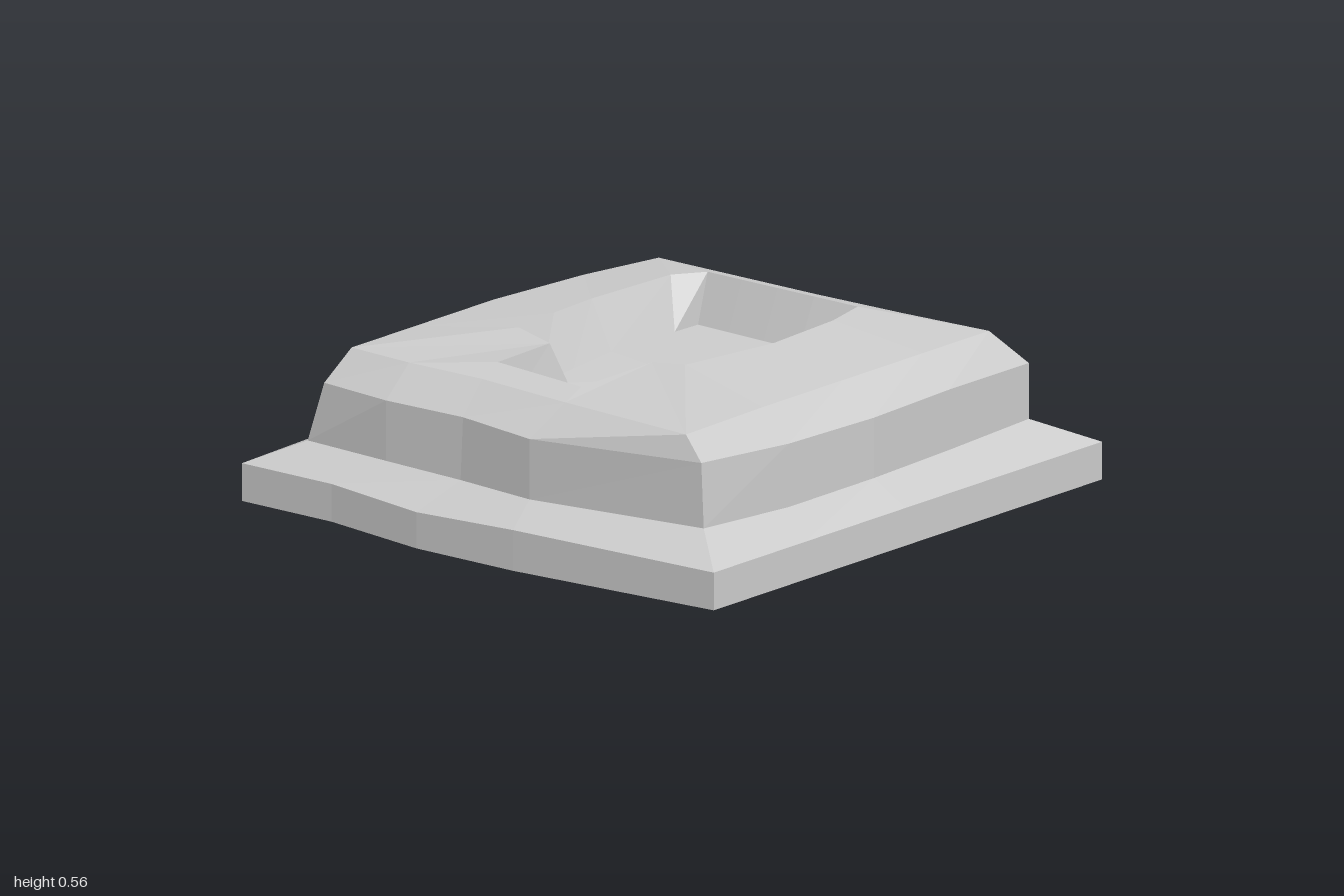
import * as THREE from 'three';

// Each ring: 16 points [x, z, y], running front, left, back, right side.
const foot = [
  [-.95, .955, .01], [-.58, .955, .01], [-.2, .99, 0], [.2, .99, 0],
  [1, .955, .01], [1, .5, .01], [1, 0, .01], [1, -.5, .01],
  [1, -.98, .01], [.5, -.985, .01], [0, -.99, .01], [-.5, -.985, .01],
  [-.95, -.98, .01], [-.95, -.5, .01], [-1, -.03, 0], [-.975, .4, .01]];
const lip = foot.map(([x, z], i) => [x, z, i === 2 || i === 14 ? .12 : .135]);
const wallBase = [
  [-.79, .82, .21], [-.45, .84, .21], [-.15, .83, .2], [.16, .86, .2],
  [.83, .8, .215], [.85, .4, .2], [.87, 0, .21], [.85, -.4, .21],
  [.83, -.82, .215], [.5, -.84, .21], [.18, -.87, .21], [-.25, -.85, .21],
  [-.78, -.82, .21], [-.8, -.4, .21], [-.83, 0, .21], [-.82, .4, .2]];
const wallTop = [
  [-.73, .81, .41], [-.45, .84, .41], [-.14, .83, .41], [.16, .86, .4],
  [.82, .8, .43], [.85, .4, .41], [.87, 0, .41], [.85, -.4, .41],
  [.83, -.82, .4], [.5, -.84, .39], [.18, -.87, .39], [-.25, -.85, .4],
  [-.78, -.82, .41], [-.79, -.4, .42], [-.815, 0, .42], [-.8, .4, .42]];
const shoulder = [
  [-.7, .71, .51], [-.45, .725, .51], [-.15, .72, .51], [.2, .73, .5],
  [.74, .78, .505], [.74, .4, .51], [.74, 0, .51], [.74, -.4, .51],
  [.74, -.73, .51], [.4, -.71, .51], [.05, -.7, .51], [-.3, -.7, .51],
  [-.6, -.7, .51], [-.66, -.4, .51], [-.7, 0, .51], [-.7, .4, .51]];
const pocketRim = [
  [-.35, .3, .55], [-.18, .35, .54], [-.17, .62, .54], [.19, .64, .53],
  [.21, .31, .54], [.33, .29, .55], [.4, -.07, .555], [.37, -.4, .55],
  [.33, -.57, .55], [.15, -.57, .55], [0, -.57, .55], [-.15, -.57, .55],
  [-.29, -.57, .55], [-.36, -.47, .55], [-.38, -.1, .55], [-.37, .1, .55]];
const pocketFloor = [
  [-.28, .27, .37], [-.15, .27, .36], [-.15, .57, .4], [.18, .56, .4],
  [.19, .27, .37], [.31, .25, .4], [.35, 0, .4], [.32, -.1, .4],
  [.31, -.49, .39], [.15, -.495, .39], [0, -.5, .39], [-.15, -.505, .39],
  [-.28, -.51, .39], [-.285, -.4, .39], [-.3, -.1, .39], [-.29, .1, .38]];
// The underside is a shallow recess with sloping sides.
const recess = wallBase.map(([x, z]) => [x, z, .095]);

const material = new THREE.MeshStandardMaterial({ color: 0xcccccc, flatShading: true });

function facetedMesh(name, triangles) {
  const geometry = new THREE.BufferGeometry();
  const coords = triangles.flatMap(([x, z, y]) => [x, y, z]);
  geometry.setAttribute('position', new THREE.Float32BufferAttribute(coords, 3));
  geometry.computeVertexNormals();
  const mesh = new THREE.Mesh(geometry, material);
  mesh.name = name;
  return mesh;
}

// Joins each ring to the next one.
function loft(name, ...rings) {
  const tris = [];
  for (let r = 0; r < rings.length - 1; r++) {
    const a = rings[r], b = rings[r + 1];
    for (let i = 0; i < a.length; i++) {
      const j = (i + 1) % a.length;
      tris.push(a[i], a[j], b[j], a[i], b[j], b[i]);
    }
  }
  return facetedMesh(name, tris);
}

// Closes a ring with triangles around a middle point.
function cap(name, ring, middle, facingDown = false) {
  const tris = ring.flatMap((p, i) => {
    const q = ring[(i + 1) % ring.length];
    return facingDown ? [q, p, middle] : [p, q, middle];
  });
  return facetedMesh(name, tris);
}

export function createModel() {
  const model = new THREE.Group();
  model.name = 'steppedBlockWithPocket';
  model.add(
    cap('undersideRecess', recess, [0, 0, .095], true),
    loft('undersideSlope', recess, foot),
    loft('baseLip', foot, lip, wallBase),
    loft('raisedBlock', wallBase, wallTop, shoulder),
    loft('topSurface', shoulder, pocketRim),
    loft('pocketWalls', pocketRim, pocketFloor),
    cap('pocketFloor', pocketFloor, [.07, -.05, .38]));
  return model;
}
